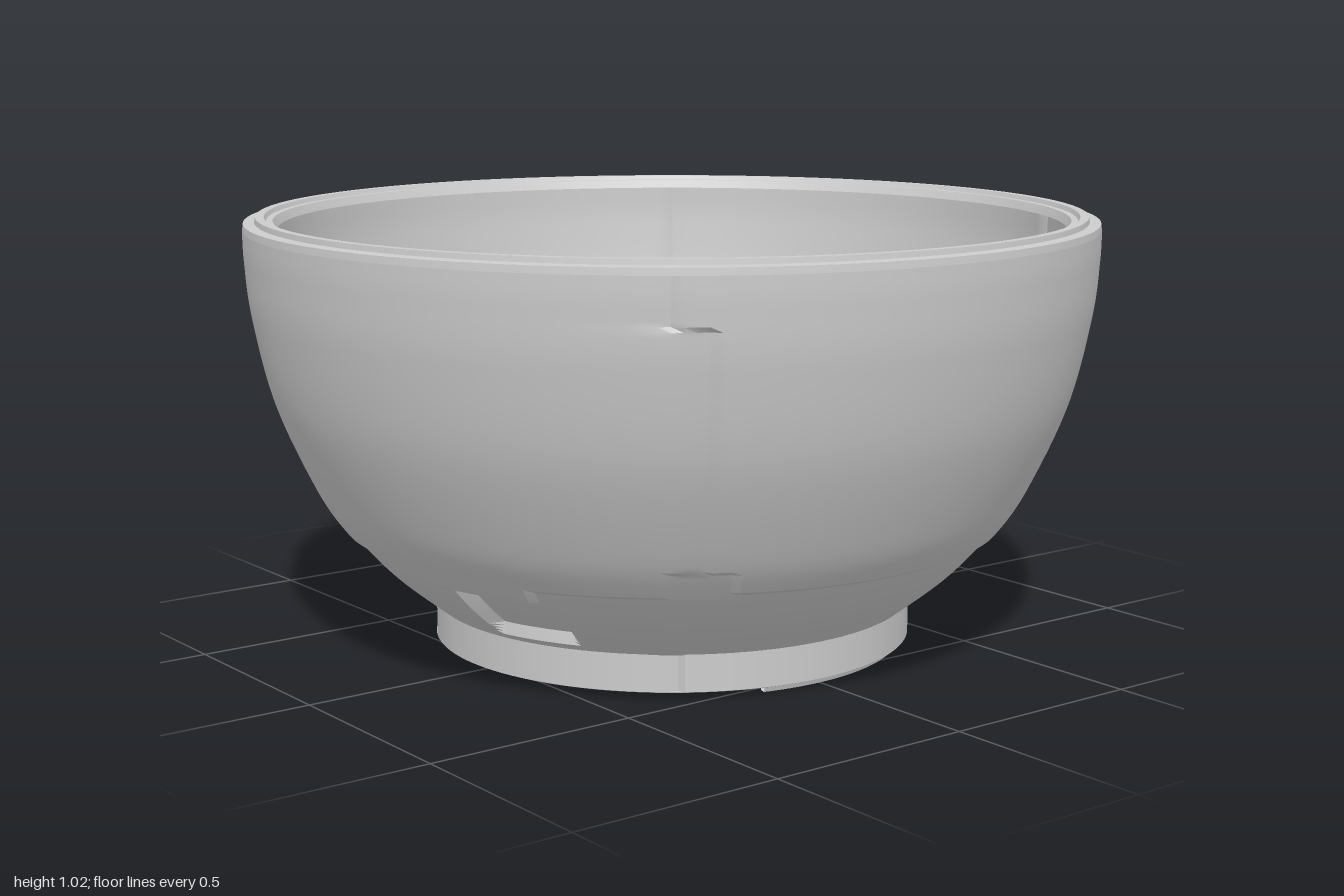
import * as THREE from 'three';
import { mergeVertices, toCreasedNormals } from 'three/addons/utils/BufferGeometryUtils.js';

const material = new THREE.MeshStandardMaterial({ color: 0xcccccc, side: THREE.DoubleSide });
const SEGMENTS = 240;
const DEG = 180 / Math.PI;

// Vertical seams, in degrees from the front (positive towards +x)
const OUTER_SEAMS = [-115.3, -27.4, 53.7, 149.3];
const INNER_SEAMS = [-126.7, -31.3, 67.7, 154.3];
const FOOT_SEAMS = [-27.4, 54.7, 160.3];

// Stepped joint between wall and base outside: [start angle, height]
const OUTER_JOINT = [
  [-180, 0.30], [-122, 0.35], [-109, 0.30], [-37, 0.35], [-24, 0.30], [-4, 0.25], [30, 0.29],
  [52, 0.35], [62, 0.30], [126, 0.34], [144, 0.39], [154, 0.34], [170, 0.30],
];

// Stepped joint between wall and floor inside: [start angle, radius]
const INNER_JOINT = [
  [-180, 0.74], [-150, 0.72], [-120, 0.69], [-62, 0.72], [-42, 0.765], [-20, 0.735], [0, 0.695],
  [30, 0.72], [45, 0.745], [62, 0.76], [75, 0.75], [90, 0.70], [126, 0.73], [140, 0.755], [156, 0.74],
];

const vectors = (points) => points.map(([r, y]) => new THREE.Vector2(r, y));
const stepAt = (table, angle) => table.reduce((v, [start, value]) => (angle >= start ? value : v), table[0][1]);
const between = (v, low, high) => v > low && v < high;

// Fold that drops sharply at each seam and fades out on one side
function seamDip(seams, angle) {
  let dip = 0;
  for (const seam of seams) {
    const d = seam - angle;
    if (between(d, 0, 14)) dip = Math.max(dip, 0.012 * Math.exp(-d / 3));
  }
  return dip;
}

// Revolved shell whose radius is shifted by a rule of angle, height and radius
function shell(name, points, rows, radiusShift) {
  const profile = new THREE.SplineCurve(vectors(points)).getSpacedPoints(rows);
  const geo = new THREE.LatheGeometry(profile, SEGMENTS);
  geo.deleteAttribute('uv');
  geo.deleteAttribute('normal');
  const pos = geo.attributes.position;
  for (let i = 0; i < pos.count; i++) {
    const x = pos.getX(i);
    const y = pos.getY(i);
    const z = pos.getZ(i);
    const r = Math.hypot(x, z);
    if (r < 1e-4) continue;
    // The small offset keeps step angles clear of the vertex columns
    const k = 1 + radiusShift(Math.atan2(x, z) * DEG + 0.3, y, r) / r;
    pos.setXYZ(i, x * k, y, z * k);
  }
  const mesh = new THREE.Mesh(toCreasedNormals(mergeVertices(geo, 1e-5), 0.4), material);
  mesh.name = name;
  return mesh;
}

// Crisp ring: every profile segment is its own smooth band
function ring(name, points, start = 0, sweep = Math.PI * 2) {
  const group = new THREE.Group();
  group.name = name;
  for (let i = 0; i < points.length - 1; i++) {
    const geo = new THREE.LatheGeometry(vectors(points.slice(i, i + 2)), 120, start, sweep);
    const band = new THREE.Mesh(geo, material);
    band.name = name + 'Band';
    group.add(band);
  }
  return group;
}

// Outside: base set in below the joint, a dent low on the front and a nick above the foot at the back
function outerShift(angle, y) {
  if (between(angle, 13, 33) && between(y, 0.12, 0.25)) {
    return -0.05 * Math.min(1, (y - 0.12) / 0.035);
  }
  if (between(angle, -171, -153) && y < 0.13) return -0.025;
  if (y < stepAt(OUTER_JOINT, angle)) return -0.012;
  // One seam jogs sideways near the rim
  const jog = between(angle, 30, 70) && y < 0.89 ? 4 : 0;
  return -seamDip(OUTER_SEAMS, angle - jog);
}

// Inside: round-edged floor piece laid over the wall, with a dent on the back right
function innerShift(angle, y, r) {
  if (between(angle, -118, -104) && between(r, 0.64, 0.72)) return 0.02;
  const inset = stepAt(INNER_JOINT, angle) - r;
  if (inset <= 0) return seamDip(INNER_SEAMS, angle);
  const edge = 0.4 + 0.6 * Math.min(1, inset / 0.03);
  return -0.018 * edge * THREE.MathUtils.clamp((r - 0.56) * 12, 0, 1);
}

export function createModel() {
  const bowl = new THREE.Group();
  bowl.name = 'bowl';

  bowl.add(shell(
    'outerWall',
    [[0.578, 0.105], [0.695, 0.2], [0.785, 0.3], [0.85, 0.4], [0.937, 0.6], [0.984, 0.8], [0.998, 0.93], [1, 1]],
    90,
    outerShift,
  ));

  bowl.add(shell(
    'innerWallAndFloor',
    [[0.92, 1], [0.914, 0.9], [0.885, 0.72], [0.82, 0.52], [0.74, 0.365], [0.65, 0.245],
      [0.57, 0.17], [0.5, 0.155], [0.25, 0.155], [0, 0.155]],
    110,
    innerShift,
  ));

  // Rim with two fine raised beads
  bowl.add(ring('rim', [
    [1, 1], [0.998, 1.016], [0.972, 1.018], [0.97, 1.03], [0.95, 1.03],
    [0.945, 1.02], [0.93, 1.02], [0.92, 1],
  ]));

  // Hollow foot with seams outside and a thin extra lip around the back
  bowl.add(shell('footWall', [[0.57, 0.022], [0.57, 0.108]], 4, (angle) => -seamDip(FOOT_SEAMS, angle)));
  bowl.add(ring('footInside', [[0.498, 0.09], [0.54, 0.02], [0.56, 0.018], [0.57, 0.022]]));
  bowl.add(ring('footTop', [[0.57, 0.108], [0.53, 0.108]]));
  bowl.add(ring('footLip', [[0.53, 0.02], [0.535, 0.005], [0.55, 0.005], [0.555, 0.02]], 1.3, 3.68));

  // Recessed underside
  const underside = new THREE.Mesh(new THREE.CircleGeometry(0.498, 120), material);
  underside.name = 'underside';
  underside.rotation.x = Math.PI / 2;
  underside.position.y = 0.09;
  bowl.add(underside);

  return bowl;
}
